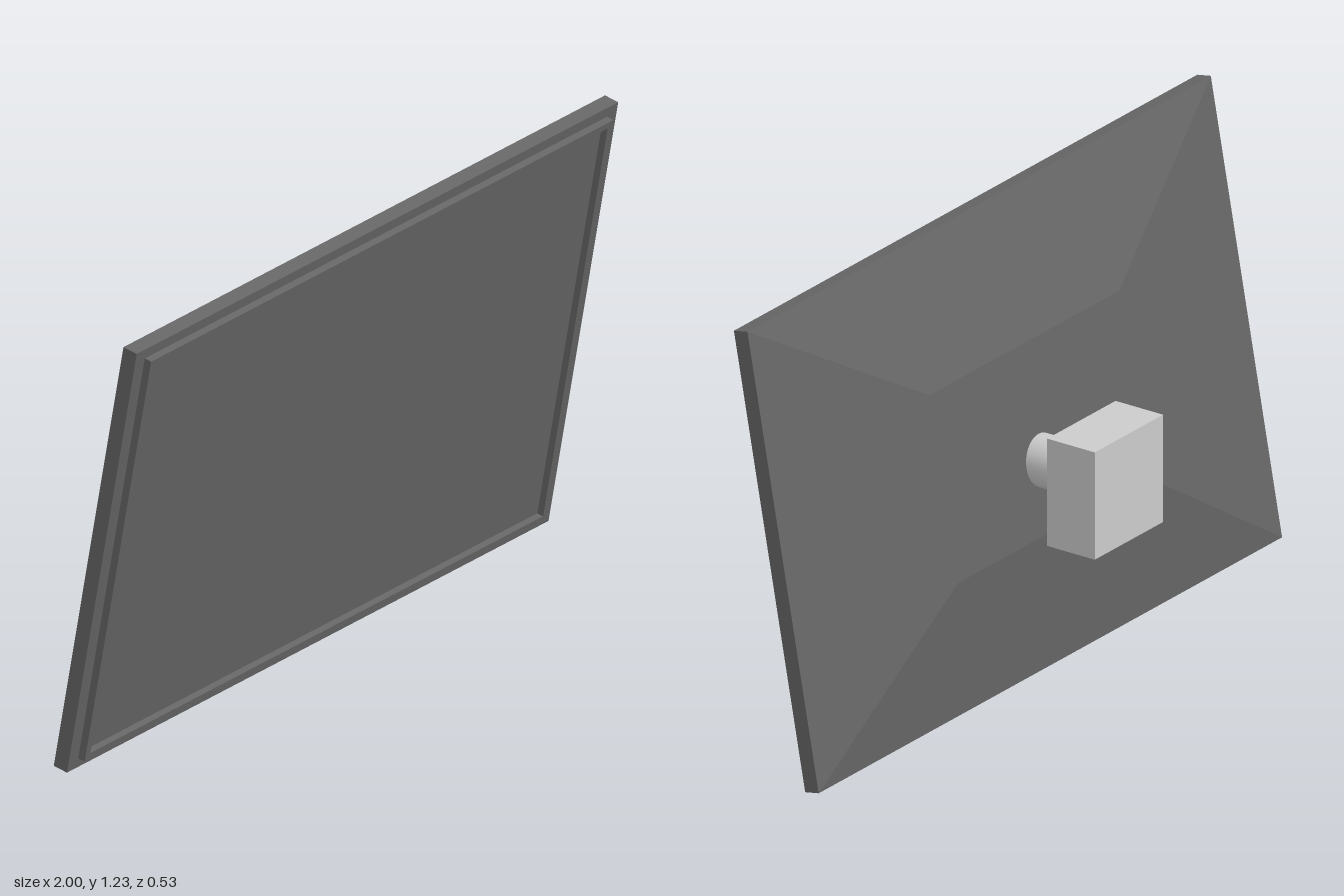
import * as THREE from 'three';

const dark = new THREE.MeshStandardMaterial({ color: 0x666666, flatShading: true });
const grey = new THREE.MeshStandardMaterial({ color: 0xcccccc });

function add(parent, name, geometry, material, x = 0, y = 0, z = 0) {
  const mesh = new THREE.Mesh(geometry, material);
  mesh.name = name;
  mesh.position.set(x, y, z);
  parent.add(mesh);
  return mesh;
}

// Rectangle outline, counter-clockwise, from half width and half height
function rect(Type, w, h) {
  return new Type([[-w, -h], [w, -h], [w, h], [-w, h]].map(([x, y]) => new THREE.Vector2(x, y)));
}

// Box whose back face is shrunk to make a truncated pyramid
function taperedBack(w, h, backW, backH, depth) {
  const geometry = new THREE.BoxGeometry(w, h, depth);
  const p = geometry.attributes.position;
  for (let i = 0; i < p.count; i++) {
    if (p.getZ(i) < 0) p.setXY(i, Math.sign(p.getX(i)) * backW / 2, Math.sign(p.getY(i)) * backH / 2);
  }
  geometry.computeVertexNormals();
  return geometry;
}

export function createModel() {
  const model = new THREE.Group();
  model.name = 'wallMountedScreen';

  // Tilted panel, local origin at the centre of the casing's front face
  const panel = new THREE.Group();
  panel.name = 'panel';
  panel.position.set(0, 0.61, 0.1365);
  panel.rotation.x = 0.181;
  model.add(panel);

  add(panel, 'casing', new THREE.BoxGeometry(2, 1.24, 0.043), dark, 0, 0, -0.0215);
  add(panel, 'backHousing', taperedBack(2, 1.24, 0.82, 0.504, 0.077), dark, 0, 0, -0.0815);

  // Raised bezel around the recessed screen
  const frame = rect(THREE.Shape, 0.96, 0.592);
  frame.holes.push(rect(THREE.Path, 0.94, 0.574));
  add(panel, 'bezel', new THREE.ExtrudeGeometry(frame, { depth: 0.021, bevelEnabled: false }), dark);
  add(panel, 'screen', new THREE.PlaneGeometry(1.88, 1.148), dark, 0, 0, 0.002);

  // Wall mount: arm and block
  const arm = new THREE.CylinderGeometry(0.069, 0.069, 0.16, 32).rotateX(Math.PI / 2);
  add(model, 'mountArm', arm, grey, 0, 0.57, -0.045);
  add(model, 'mountBlock', new THREE.BoxGeometry(0.295, 0.297, 0.149), grey, 0, 0.564, -0.189);

  return model;
}
